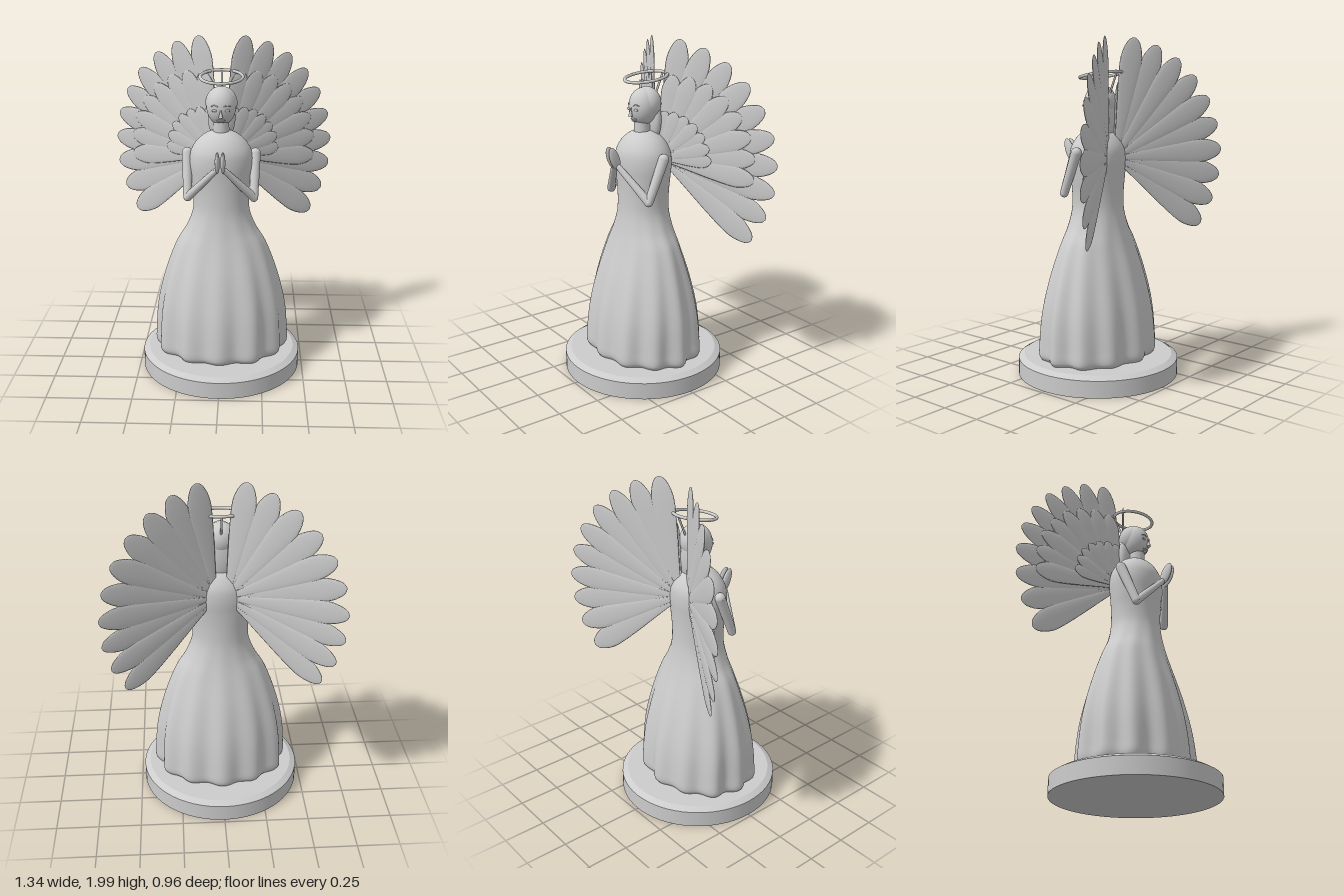
import * as THREE from 'three';
import { mergeVertices } from 'three/addons/utils/BufferGeometryUtils.js';

const stone = new THREE.MeshStandardMaterial({ color: 0xcccccc });
stone.name = 'pale stone';

function add(parent, name, geometry, x = 0, y = 0, z = 0) {
  const mesh = new THREE.Mesh(geometry, stone);
  mesh.name = name;
  mesh.position.set(x, y, z);
  parent.add(mesh);
  return mesh;
}

function ellipsoid(rx, ry, rz, segments = 32) {
  return new THREE.SphereGeometry(1, segments, Math.round(segments * 0.7)).scale(rx, ry, rz);
}

// Tapered round limb between two points
function limb(parent, name, a, b, ra, rb) {
  const from = new THREE.Vector3(...a), to = new THREE.Vector3(...b);
  const dir = to.clone().sub(from);
  const mesh = add(parent, name, new THREE.CylinderGeometry(rb, ra, dir.length(), 20));
  mesh.position.copy(from).add(to).multiplyScalar(0.5);
  mesh.quaternion.setFromUnitVectors(new THREE.Vector3(0, 1, 0), dir.normalize());
  return mesh;
}

// Gown: oval sections (half width, height, half depth) with folds that fade upwards
function gownGeometry() {
  const sections = [
    [0.372, 0.12, 0.298], [0.388, 0.145, 0.312], [0.388, 0.22, 0.311], [0.376, 0.4, 0.291],
    [0.333, 0.6, 0.246], [0.262, 0.8, 0.186], [0.203, 0.9, 0.161], [0.167, 1.0, 0.145],
    [0.166, 1.1, 0.142], [0.18, 1.2, 0.146], [0.187, 1.29, 0.153], [0.175, 1.36, 0.147],
    [0.137, 1.42, 0.117], [0.085, 1.46, 0.075], [0.03, 1.48, 0.03],
  ];
  const curve = new THREE.CatmullRomCurve3(sections.map((s) => new THREE.Vector3(...s)), false, 'centripetal');
  const rings = curve.getPoints(70);
  const geo = new THREE.LatheGeometry(rings.map((p) => new THREE.Vector2(1, p.y)), 144);
  const pos = geo.attributes.position;
  for (let i = 0; i < pos.count; i++) {
    const ring = rings[i % rings.length];
    const a = Math.atan2(pos.getZ(i), pos.getX(i));
    const fade = THREE.MathUtils.clamp((1.05 - ring.y) / 0.85, 0, 1);
    const fold = 1 + fade * (0.042 * Math.cos(12 * a) + 0.012 * Math.sin(7 * a + 0.6));
    pos.setXYZ(i, ring.x * fold * Math.cos(a), ring.y, ring.z * fold * Math.sin(a));
  }
  geo.deleteAttribute('uv');
  geo.deleteAttribute('normal');
  const merged = mergeVertices(geo, 1e-5);
  merged.computeVertexNormals();
  return merged;
}

// Feather: a flattened spindle, narrow at the root and widest near the tip
function featherGeometry(length, width) {
  const profile = [[0.12, 0], [0.42, 0.25], [0.8, 0.55], [1, 0.77], [0.92, 0.87], [0.66, 0.945], [0.36, 0.985], [0, 1]];
  const curve = new THREE.SplineCurve(profile.map(([w, t]) => new THREE.Vector2(w * width, t * length)));
  const points = curve.getPoints(24).map((p) => new THREE.Vector2(Math.max(p.x, 0), p.y));
  return new THREE.LatheGeometry(points, 16).scale(1, 1, 0.11);
}

function makeWing(side) {
  const wing = new THREE.Group();
  wing.name = side > 0 ? 'leftWing' : 'rightWing';
  wing.position.set(side * 0.03, 1.3, -0.105);
  wing.rotation.y = side * THREE.MathUtils.degToRad(27);
  const layers = [
    { name: 'longFeather', count: 10, from: 80, to: -36, width: 0.07, lengths: [0.705, 0.72] },
    { name: 'middleFeather', count: 8, from: 80, to: -6, width: 0.061, lengths: [0.5, 0.595] },
    { name: 'shortFeather', count: 7, from: 82, to: 4, width: 0.042, lengths: [0.29, 0.335] },
  ];
  layers.forEach((layer, k) => {
    for (let i = 0; i < layer.count; i++) {
      const t = i / (layer.count - 1);
      const angle = THREE.MathUtils.lerp(layer.from, layer.to, t);
      // feathers grow towards the outer part of the fan
      const grow = Math.sin(Math.min(t * 1.2, 1.2 - t * 0.3) * Math.PI / 2);
      const length = THREE.MathUtils.lerp(...layer.lengths, grow);
      const feather = add(wing, layer.name, featherGeometry(length, layer.width));
      feather.position.z = k * 0.013 + (i % 2) * 0.002;
      feather.rotation.z = -side * THREE.MathUtils.degToRad(90 - angle);
    }
  });
  return wing;
}

function makeArm(side) {
  const arm = new THREE.Group();
  arm.name = side > 0 ? 'leftArm' : 'rightArm';
  const shoulder = [side * 0.198, 1.34, -0.002];
  const elbow = [side * 0.192, 1.1, 0.097];
  const wrist = [side * 0.024, 1.285, 0.186];
  add(arm, 'shoulder', ellipsoid(0.031, 0.031, 0.031, 20), ...shoulder);
  limb(arm, 'upperArm', shoulder, elbow, 0.031, 0.025);
  add(arm, 'elbow', ellipsoid(0.025, 0.025, 0.025, 20), ...elbow);
  limb(arm, 'forearm', elbow, wrist, 0.025, 0.017);
  add(arm, 'wrist', ellipsoid(0.017, 0.017, 0.017, 16), ...wrist);
  const hand = add(arm, 'hand', ellipsoid(0.014, 0.072, 0.031, 24), side * 0.016, 1.335, 0.208);
  hand.rotation.x = 0.38;
  return arm;
}

function makeHead() {
  const head = new THREE.Group();
  head.name = 'head';
  add(head, 'neck', new THREE.CylinderGeometry(0.045, 0.047, 0.12, 28), 0, 1.5, 0.008);
  add(head, 'face', ellipsoid(0.085, 0.108, 0.083), 0, 1.613, 0);
  add(head, 'hairCap', ellipsoid(0.092, 0.095, 0.08), 0, 1.63, -0.025);
  add(head, 'longHair', ellipsoid(0.08, 0.14, 0.04), 0, 1.535, -0.06);
  const nose = add(head, 'nose', new THREE.ConeGeometry(0.013, 0.055, 12), 0, 1.592, 0.086);
  nose.rotation.x = -0.12;
  add(head, 'upperLip', ellipsoid(0.026, 0.006, 0.01, 16), 0, 1.546, 0.066);
  add(head, 'lowerLip', ellipsoid(0.022, 0.006, 0.01, 16), 0, 1.536, 0.062);
  for (const side of [-1, 1]) {
    add(head, 'eye', ellipsoid(0.017, 0.007, 0.007, 16), side * 0.036, 1.603, 0.075);
    const brow = new THREE.QuadraticBezierCurve3(
      new THREE.Vector3(side * 0.018, 1.626, 0.081),
      new THREE.Vector3(side * 0.036, 1.64, 0.078),
      new THREE.Vector3(side * 0.055, 1.625, 0.064));
    add(head, 'brow', new THREE.TubeGeometry(brow, 10, 0.003, 6));
  }
  return head;
}

export function createModel() {
  const model = new THREE.Group();
  model.name = 'angelFigurine';

  // Round plinth with a bevelled rim
  add(model, 'plinth', new THREE.CylinderGeometry(0.48, 0.48, 0.1, 64), 0, 0.05, 0);
  add(model, 'plinthBevel', new THREE.CylinderGeometry(0.445, 0.48, 0.02, 64), 0, 0.11, 0);

  add(model, 'gown', gownGeometry());
  model.add(makeHead());
  for (const side of [1, -1]) model.add(makeArm(side), makeWing(side));

  // Tilted halo on a small post behind the head
  const halo = add(model, 'halo', new THREE.TorusGeometry(0.122, 0.009, 12, 56), 0, 1.78, -0.02);
  halo.rotation.x = Math.PI / 2 + 0.16;
  limb(model, 'haloPost', [0, 1.68, -0.09], [0, 1.8, -0.14], 0.006, 0.006);
  return model;
}
